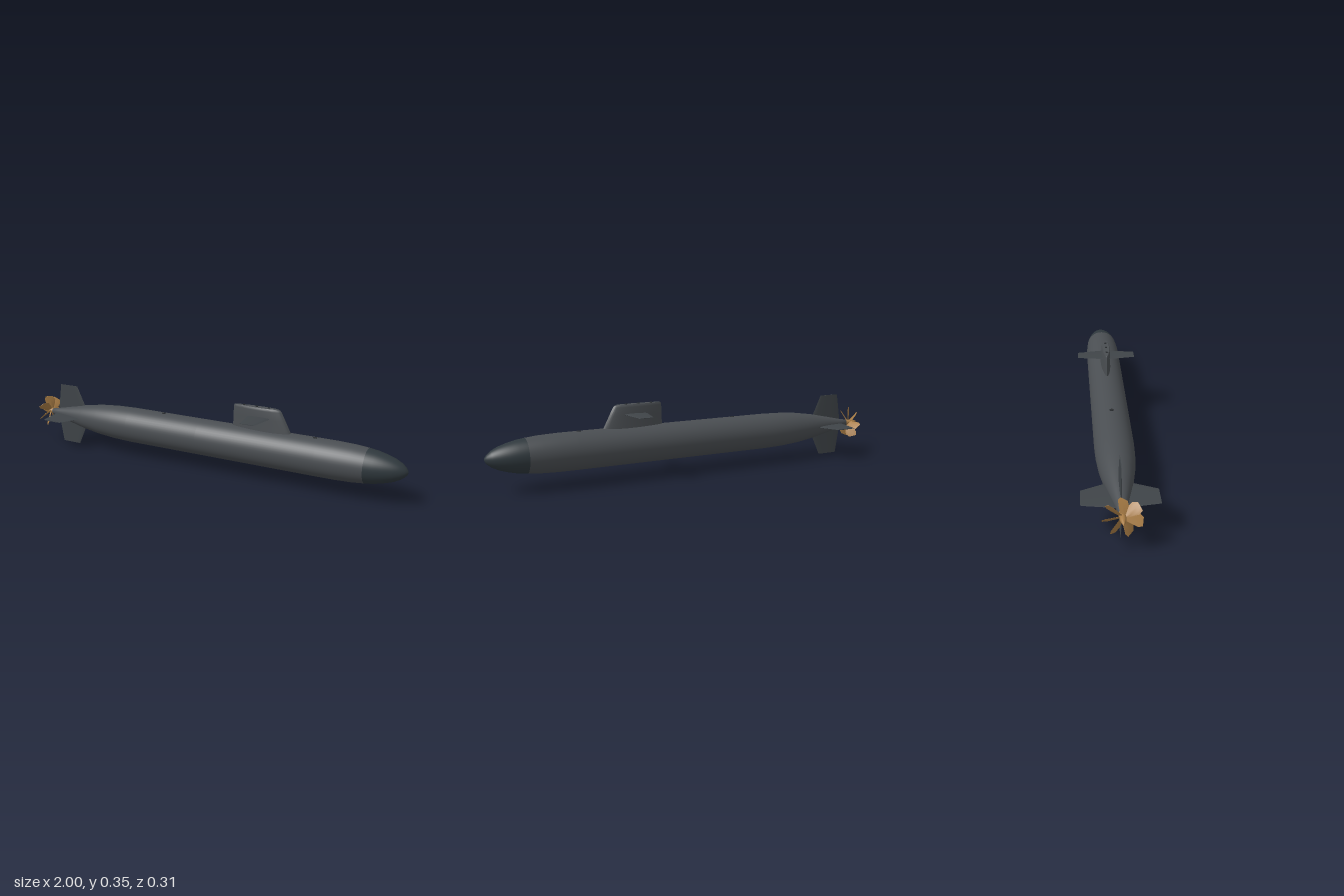
import * as THREE from 'three';
import { toCreasedNormals } from 'three/addons/utils/BufferGeometryUtils.js';

const AXIS_Y = 0.157;
const mat = (color) => new THREE.MeshStandardMaterial({ color, side: THREE.DoubleSide });

// Foil lofted along +y; each section is [y, xBack, xFront, halfThickness].
function foil(sections, n = 24) {
  const pos = [], index = [];
  for (const [y, x0, x1, t] of sections) {
    for (let i = 0; i < n; i++) {
      const a = (i / n) * Math.PI * 2, c = Math.cos(a);
      pos.push((x0 + x1) / 2 + (c * (x1 - x0)) / 2, y, t * Math.sin(a) * (0.95 + 0.25 * c));
    }
  }
  for (let j = 0; j < sections.length - 1; j++) {
    for (let i = 0; i < n; i++) {
      const k = (i + 1) % n, a = j * n, b = a + n;
      index.push(a + i, b + i, b + k, a + i, b + k, a + k);
    }
  }
  // Tip cap
  const [y, x0, x1] = sections[sections.length - 1];
  const center = pos.length / 3, last = center - n;
  pos.push((x0 + x1) / 2, y, 0);
  for (let i = 0; i < n; i++) index.push(center, last + ((i + 1) % n), last + i);
  const g = new THREE.BufferGeometry();
  g.setAttribute('position', new THREE.Float32BufferAttribute(pos, 3));
  g.setIndex(index);
  return toCreasedNormals(g, 0.6);
}

// Body of revolution along x; profile is a list of [x, radius].
function revolve(profile, segments = 48) {
  const g = new THREE.LatheGeometry(profile.map(([x, r]) => new THREE.Vector2(r, x)), segments);
  return g.rotateZ(-Math.PI / 2);
}

export function createModel() {
  const model = new THREE.Group();
  const hullMat = mat(0x4a4e52), noseMat = mat(0x2f383d);
  const finMat = mat(0x3f4448), bronze = mat(0xa87c45), dark = mat(0x2a2d30);

  const add = (name, geometry, material, x = 0, y = 0, z = 0, parent = model) => {
    const m = new THREE.Mesh(geometry, material);
    m.name = name;
    m.position.set(x, y, z);
    parent.add(m);
    return m;
  };

  // Hull and nose cap
  add('hull', revolve([
    [-0.93, 0], [-0.93, 0.014], [-0.88, 0.023], [-0.8, 0.041], [-0.7, 0.062], [-0.6, 0.077],
    [-0.5, 0.085], [-0.4, 0.088], [0, 0.088], [0.6, 0.088], [0.68, 0.0875], [0.76, 0.0845], [0.82, 0.079],
  ]), hullMat, 0, AXIS_Y);
  add('noseCap', revolve([
    [0.82, 0.079], [0.86, 0.0735], [0.9, 0.064], [0.94, 0.051], [0.97, 0.036], [0.988, 0.021], [0.997, 0.009], [1, 0],
  ]), noseMat, 0, AXIS_Y);

  // Sail with sloping front and rounded top edge
  add('sail', foil([
    [0.215, 0.163, 0.468, 0.027], [0.245, 0.164, 0.458, 0.0245], [0.3, 0.166, 0.43, 0.022],
    [0.338, 0.167, 0.41, 0.02], [0.346, 0.169, 0.403, 0.0185], [0.35, 0.174, 0.393, 0.016],
  ], 36), hullMat);

  // Mast covers along the top of the sail
  for (const x of [0.22, 0.285, 0.345]) {
    add('mastCover', new THREE.CylinderGeometry(0.006, 0.006, 0.006, 16), dark, x, 0.35, 0);
  }

  // Sail planes
  for (const side of [-1, 1]) {
    const plane = add('sailPlane', foil([
      [0.005, 0.244, 0.362, 0.005], [0.143, 0.267, 0.337, 0.0015],
    ]), finMat, 0, 0.304, 0);
    plane.rotation.x = (side * Math.PI) / 2;
  }

  // Cross-shaped tail fins
  const finGeometry = foil([[0.01, -0.886, -0.692, 0.005], [0.0575, -0.878, -0.708, 0.004], [0.157, -0.862, -0.755, 0.0018]]);
  for (let i = 0; i < 4; i++) {
    add('tailFin', finGeometry, finMat, 0, AXIS_Y, 0).rotation.x = (i * Math.PI) / 2;
  }

  // Deck hatches fore and aft
  for (const x of [-0.22, 0.575]) {
    add('deckHatch', new THREE.CylinderGeometry(0.01, 0.01, 0.004, 20), dark, x, AXIS_Y + 0.0875, 0);
  }

  // Propeller: pointed hub with seven pitched blades
  const propeller = new THREE.Group();
  propeller.name = 'propeller';
  propeller.position.set(-0.943, AXIS_Y, 0);
  model.add(propeller);
  add('propellerHub', revolve([
    [-0.057, 0], [-0.045, 0.006], [-0.025, 0.012], [0.02, 0.016], [0.02, 0],
  ], 24), bronze, 0, 0, 0, propeller);
  const bladeGeometry = foil([
    [0.008, -0.012, 0.012, 0.003], [0.035, -0.021, 0.021, 0.0025],
    [0.062, -0.03, 0.026, 0.002], [0.08, -0.024, 0.012, 0.001],
  ], 12).rotateY(0.75);
  const blades = 7;
  for (let i = 0; i < blades; i++) {
    add('propellerBlade', bladeGeometry, bronze, 0, 0, 0, propeller).rotation.x = (i / blades) * Math.PI * 2;
  }

  return model;
}
